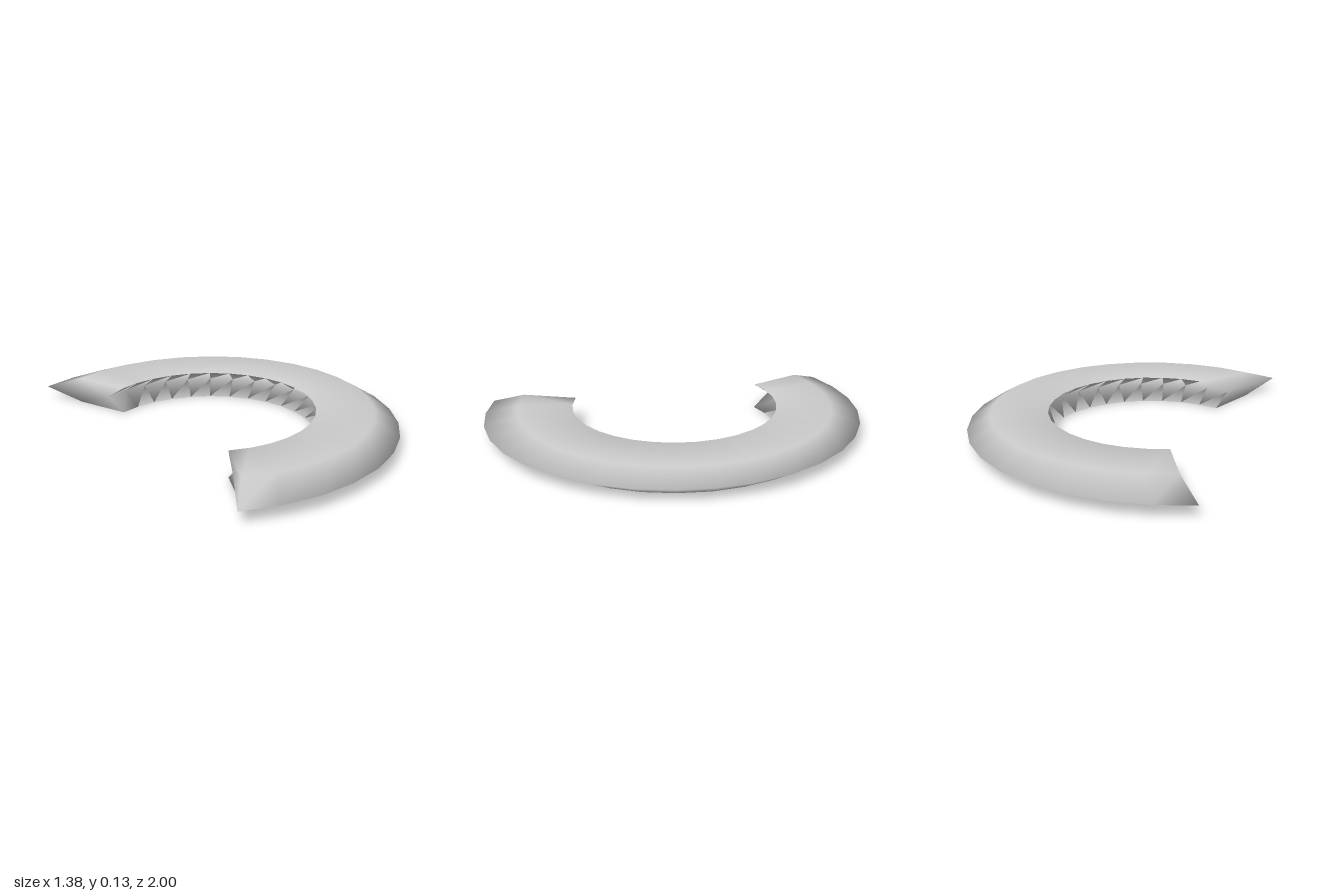
import * as THREE from 'three';

// Cross-section of the arc, going round: [centre x, radius, height]
const PROFILE = [
  [-0.31, 1.0, 0.067],  // outer sharp rim
  [-0.25, 0.83, 0],     // lower shoulder
  [-0.25, 0.54, 0],     // lower inner edge
  [-0.25, 0.64, 0.067], // groove in the inner side
  [-0.25, 0.54, 0.134], // upper inner edge
  [-0.25, 0.83, 0.134], // upper shoulder
];
const SEGMENTS = 20;
const HALF_SWEEP = Math.PI * 0.625;

function arcGeometry() {
  const n = PROFILE.length;
  const positions = [];
  const index = [];

  // Rings of the cross-section along the sweep
  for (let i = 0; i <= SEGMENTS; i++) {
    const a = -HALF_SWEEP + (2 * HALF_SWEEP * i) / SEGMENTS;
    for (const [cx, r, y] of PROFILE) {
      positions.push(cx + r * Math.cos(a), y, r * Math.sin(a));
    }
  }
  for (let i = 0; i < SEGMENTS; i++) {
    for (let j = 0; j < n; j++) {
      const k = (j + 1) % n;
      const a = i * n + j, b = a + n, c = (i + 1) * n + k, d = i * n + k;
      index.push(a, b, c, a, c, d);
    }
  }

  // End caps, fanned from the groove point
  const last = SEGMENTS * n;
  for (let s = 1; s < n - 1; s++) {
    const p = (3 + s) % n, q = (4 + s) % n;
    index.push(3, p, q, last + 3, last + q, last + p);
  }

  const geometry = new THREE.BufferGeometry();
  geometry.setAttribute('position', new THREE.Float32BufferAttribute(positions, 3));
  geometry.setIndex(index);
  geometry.computeVertexNormals();
  return geometry;
}

export function createModel() {
  const group = new THREE.Group();
  group.name = 'openRing';
  const material = new THREE.MeshStandardMaterial({ color: 0xcccccc, side: THREE.DoubleSide });
  const arc = new THREE.Mesh(arcGeometry(), material);
  arc.name = 'ringArc';
  group.add(arc);
  return group;
}
